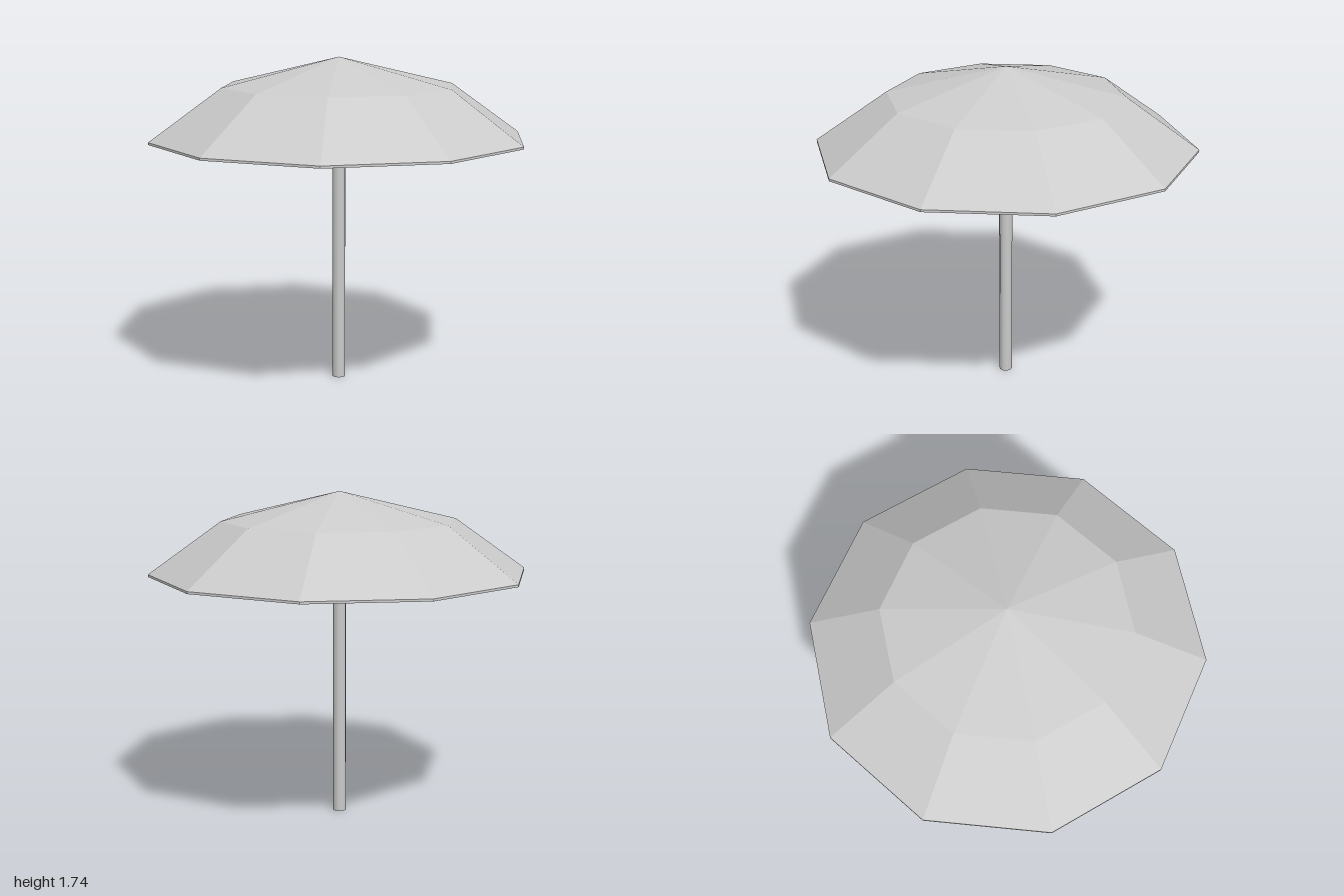
import * as THREE from 'three';

const SIDES = 10;

export function createModel() {
  const group = new THREE.Group();
  group.name = 'parasol';

  // Canopy: thin faceted shell, profile runs from the inner apex out round the rim to the outer apex
  const profile = [
    [0, 1.723], [0.62, 1.573], [1, 1.303], [1, 1.315], [0.62, 1.585], [0, 1.735],
  ].map(([r, y]) => new THREE.Vector2(r, y));
  const canopy = new THREE.Mesh(
    new THREE.LatheGeometry(profile, SIDES),
    new THREE.MeshStandardMaterial({ color: 0xcccccc, flatShading: true })
  );
  canopy.name = 'canopy';
  group.add(canopy);

  // Pole: smooth-shaded, reaches up to the underside of the canopy
  const height = 1.722;
  const pole = new THREE.Mesh(
    new THREE.CylinderGeometry(0.035, 0.035, height, SIDES),
    new THREE.MeshStandardMaterial({ color: 0xcccccc })
  );
  pole.name = 'pole';
  pole.position.y = height / 2;
  group.add(pole);

  return group;
}
